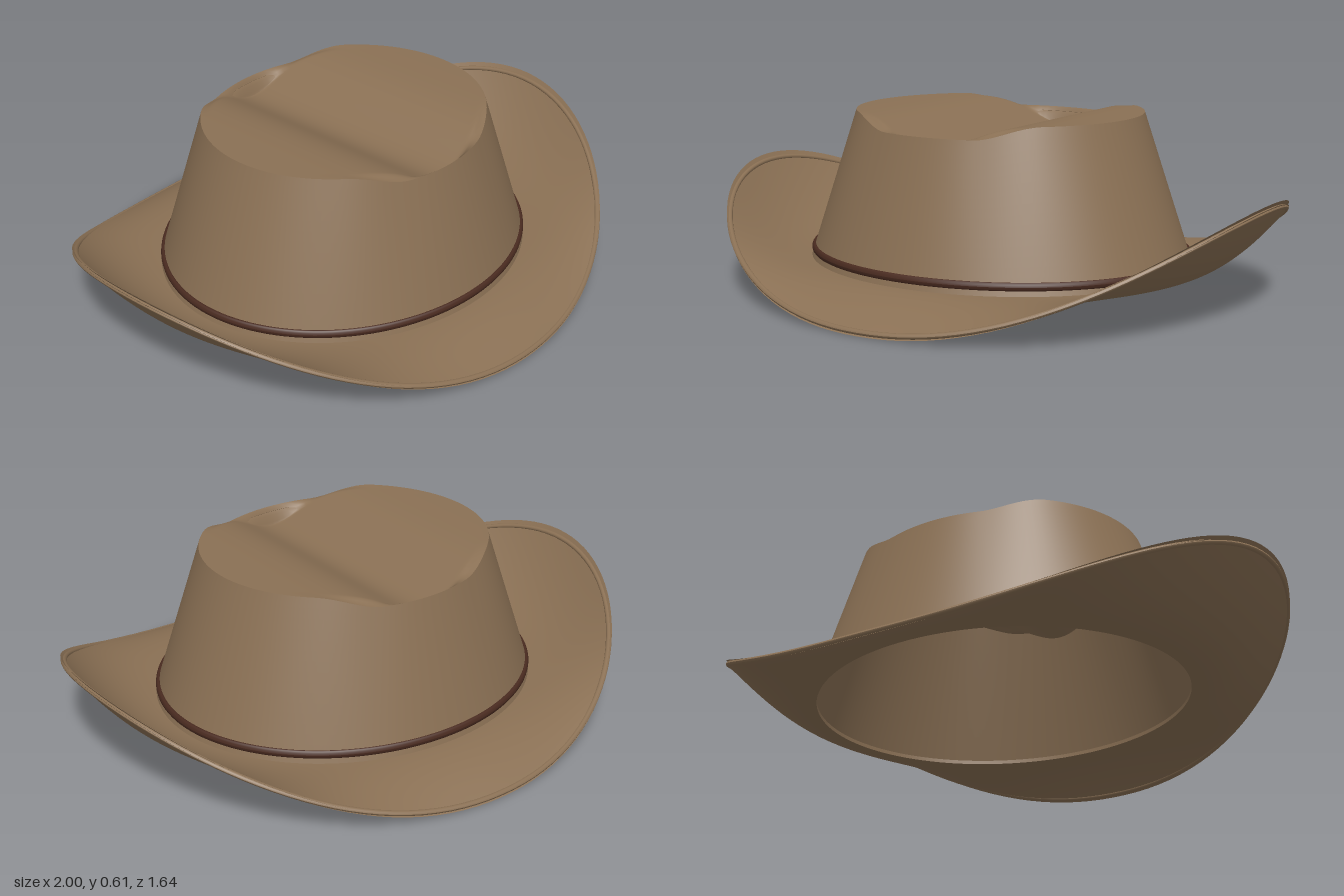
import * as THREE from 'three';

const FELT = 0x8a7054, LEATHER = 0x4a2b20;
const SEGMENTS = 128;
const { lerp, smoothstep } = THREE.MathUtils;

// Surface made of closed rings: point(angle, v) gives [x, y, z], v runs 0..1 across the rings
function ringSurface(name, color, rings, point) {
  const positions = [], index = [];
  for (let j = 0; j <= rings; j++) {
    for (let i = 0; i < SEGMENTS; i++) {
      positions.push(...point((i / SEGMENTS) * Math.PI * 2, j / rings));
      if (j === rings) continue;
      const a = j * SEGMENTS + i, b = j * SEGMENTS + (i + 1) % SEGMENTS;
      index.push(a, a + SEGMENTS, b, b, a + SEGMENTS, b + SEGMENTS);
    }
  }
  const geometry = new THREE.BufferGeometry();
  geometry.setAttribute('position', new THREE.Float32BufferAttribute(positions, 3));
  geometry.setIndex(index);
  geometry.computeVertexNormals();
  const mesh = new THREE.Mesh(geometry, new THREE.MeshStandardMaterial({ color, side: THREE.DoubleSide }));
  mesh.name = name;
  return mesh;
}

// Underside of the brim: flat at the opening, rolled up at the sides, dipped front and back
function brimPoint(angle, t) {
  const c = Math.cos(angle);
  const edge = 0.367 * Math.pow(Math.abs(c), 2.2);
  return [lerp(0.65, 1, t) * c, 0.09 + t * t * (edge - 0.09), lerp(0.57, 0.82, t) * Math.sin(angle)];
}

// Crown rim is a little lower at the front and back
const rimHeight = x => lerp(0.567, 0.61, smoothstep(Math.abs(x), 0.17, 0.36));

function wallPoint(angle, v, inset) {
  const c = Math.cos(angle), s = Math.sin(angle);
  const top = rimHeight(0.5 * c) - inset;
  return [(lerp(0.677, 0.5, v) - inset) * c, lerp(0.097, top, v), (lerp(0.59, 0.457, v) - inset) * s];
}

// Crown top with a lengthwise crease that steps up to the rim at both ends
function topPoint(angle, r, inset) {
  const x = 0.5 * r * Math.cos(angle), z = 0.457 * r * Math.sin(angle);
  const floor = 0.61 - 0.1 * Math.exp(-((x / 0.17) ** 2));
  const y = lerp(floor, rimHeight(x), smoothstep(r, 0.93, 1));
  const shrink = 1 - inset * 2;
  return [x * shrink, y - inset, z * shrink];
}

export function createModel() {
  const hat = new THREE.Group();
  hat.name = 'hat';

  // Brim: underside, upper side and the narrow edge round the head opening
  const brim = new THREE.Group();
  brim.name = 'brim';
  const upper = (a, t) => {
    const [x, y, z] = brimPoint(a, t);
    return [x, y + 0.013, z];
  };
  brim.add(
    ringSurface('brimUnderside', FELT, 24, brimPoint),
    ringSurface('brimUpperSide', FELT, 24, upper),
    ringSurface('openingEdge', FELT, 1, (a, v) => {
      const [x, y, z] = brimPoint(a, 0);
      return [x, y + 0.013 * v, z];
    }),
    // Rolled hem along the outer edge
    ringSurface('brimHem', FELT, 10, (a, v) => {
      const [x, y, z] = brimPoint(a, 0.97);
      const p = v * Math.PI * 2, out = 0.01 * Math.cos(p);
      return [x + out * Math.cos(a), y + 0.007 + 0.009 * Math.sin(p), z + out * Math.sin(a)];
    })
  );

  // Crown: outer felt and inner lining, each a wall and a creased top
  const crown = new THREE.Group();
  crown.name = 'crown';
  for (const [side, inset] of [['outer', 0], ['inner', 0.014]]) {
    crown.add(
      ringSurface(side + 'Wall', FELT, 16, (a, v) => wallPoint(a, v, inset)),
      ringSurface(side + 'Top', FELT, 50, (a, v) => topPoint(a, v, inset))
    );
  }

  // Leather band round the foot of the crown
  const band = ringSurface('hatBand', LEATHER, 12, (a, v) => {
    const p = v * Math.PI * 2, out = 0.009 * Math.cos(p);
    return [(0.666 + out) * Math.cos(a), 0.132 + 0.014 * Math.sin(p), (0.579 + out) * Math.sin(a)];
  });

  hat.add(brim, crown, band);
  return hat;
}
